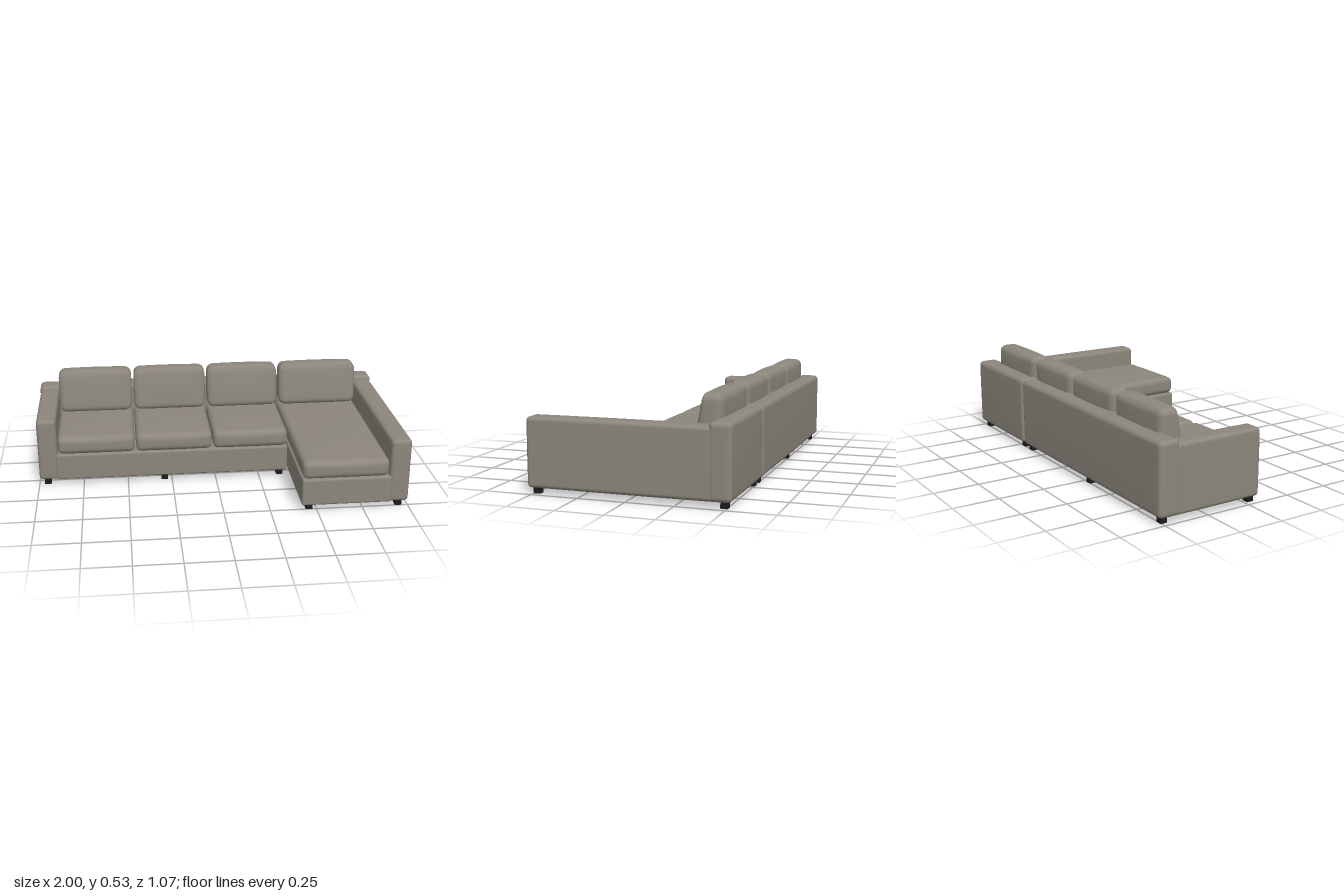
import * as THREE from 'three';
import { mergeVertices } from 'three/addons/utils/BufferGeometryUtils.js';

const fabric = new THREE.MeshStandardMaterial({ color: 0x8c867c });
fabric.name = 'taupe fabric';
const dark = new THREE.MeshStandardMaterial({ color: 0x1c1c1c });
dark.name = 'black leg';

const SEG = 14, EDGE = 4;

// Grid position along one axis, with the outer segments packed into the rounded edge
function gridCoord(t, half, r) {
  const k = Math.round((t + 0.5) * SEG);
  if (k <= EDGE) return -half + (r * k) / EDGE;
  if (k >= SEG - EDGE) return half - (r * (SEG - k)) / EDGE;
  return (half - r) * (-1 + (2 * (k - EDGE)) / (SEG - 2 * EDGE));
}

// Soft box between two corners: rounded edges, faces puffed by bulge [x, y, z]
function softBox(name, min, max, r, bulge = [0, 0, 0], shape = null) {
  const lo = new THREE.Vector3(...min), hi = new THREE.Vector3(...max);
  const centre = lo.clone().add(hi).multiplyScalar(0.5);
  const half = hi.clone().sub(lo).multiplyScalar(0.5);
  half.sub(new THREE.Vector3(...bulge));
  let geo = new THREE.BoxGeometry(1, 1, 1, SEG, SEG, SEG);
  geo.deleteAttribute('uv');
  geo.deleteAttribute('normal');
  geo = mergeVertices(geo, 1e-4);
  const pos = geo.attributes.position;
  const p = new THREE.Vector3(), inner = new THREE.Vector3();
  const core = half.clone().subScalar(r);
  for (let i = 0; i < pos.count; i++) {
    p.fromBufferAttribute(pos, i);
    p.set(gridCoord(p.x, half.x, r), gridCoord(p.y, half.y, r), gridCoord(p.z, half.z, r));
    inner.copy(p).clamp(core.clone().negate(), core);
    p.sub(inner).setLength(r).add(inner);
    const u = p.clone().divide(half);
    const f = u.clone().multiply(u).multiplyScalar(-1).addScalar(1);
    p.x += u.x * bulge[0] * f.y * f.z;
    p.y += u.y * bulge[1] * f.x * f.z;
    p.z += u.z * bulge[2] * f.x * f.y;
    if (shape) shape(p, u);
    pos.setXYZ(i, p.x, p.y, p.z);
  }
  geo.computeVertexNormals();
  const mesh = new THREE.Mesh(geo, fabric);
  mesh.name = name;
  mesh.position.copy(centre);
  return mesh;
}

// Back cushion leans: its front face slopes backwards towards the top
const lean = (p, u) => {
  if (u.z > 0) p.z -= 0.022 * (u.y + 1) * u.z;
};

export function createModel() {
  const model = new THREE.Group();
  model.name = 'cornerSofa';

  // Sofa section and chaise section, each with base, back and one outer arm
  const sections = [
    { name: 'sofa', x0: -1, x1: 0.411, front: 0.072, armX: [-0.998, -0.888], baseX: [-0.9, 0.411] },
    { name: 'chaise', x0: 0.415, x1: 1, front: 0.527, armX: [0.886, 0.998], baseX: [0.415, 0.9] },
  ];
  for (const s of sections) {
    const g = new THREE.Group();
    g.name = s.name + 'Section';
    g.add(
      softBox('base', [s.baseX[0], 0.033, -0.5], [s.baseX[1], 0.185, s.front], 0.012),
      softBox('backrest', [s.x0, 0.03, -0.535], [s.x1, 0.415, -0.412], 0.024, [0, 0.003, 0.004]),
      softBox('arm', [s.armX[0], 0.03, -0.522], [s.armX[1], 0.392, s.front], 0.02, [0.001, 0.003, 0.004]),
    );
    model.add(g);
  }

  // Seat and back cushions
  const spans = [[-0.887, -0.456], [-0.45, -0.021], [-0.015, 0.409], [0.416, 0.884]];
  spans.forEach(([a, b], i) => {
    const front = i === 3 ? 0.535 : 0.083;
    model.add(
      softBox('seatCushion', [a, 0.177, -0.42], [b, 0.294, front], 0.03, [0.001, 0.008, 0.008]),
      softBox('backCushion', [a + 0.002, 0.28, -0.457], [b - 0.002, 0.532, -0.295], 0.036, [0.004, 0.006, 0.008], lean),
    );
  });

  // Legs
  const legGeo = new THREE.BoxGeometry(0.036, 0.036, 0.036);
  const addLegs = (xs, zs) => {
    for (const x of xs) for (const z of zs) {
      const leg = new THREE.Mesh(legGeo, dark);
      leg.name = 'leg';
      leg.position.set(x, 0.018, z);
      model.add(leg);
    }
  };
  addLegs([-0.952, -0.292, 0.37], [0.033, -0.487]);
  addLegs([0.46, 0.95], [0.483, -0.487]);

  return model;
}
